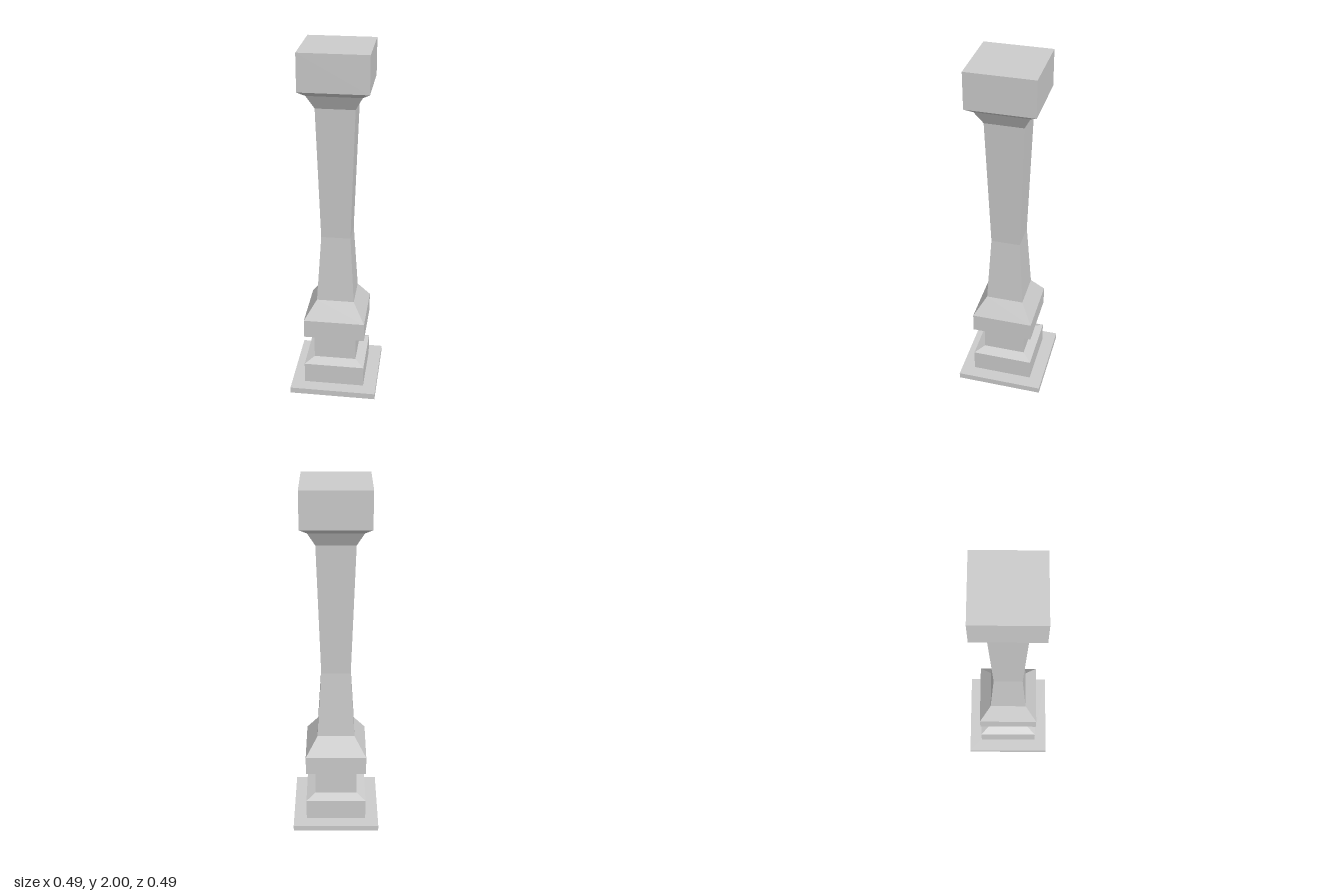
import * as THREE from 'three';

const material = new THREE.MeshStandardMaterial({ color: 0xcccccc, flatShading: true });

// Square-section turning: profile points are [half width, height], bottom to top
function squareTurning(name, profile) {
  const points = profile.map(([half, y]) => new THREE.Vector2(half * Math.SQRT2, y));
  const lathe = new THREE.LatheGeometry(points, 4, Math.PI / 4);
  const geometry = lathe.toNonIndexed();
  geometry.computeVertexNormals();
  const mesh = new THREE.Mesh(geometry, material);
  mesh.name = name;
  return mesh;
}

export function createModel() {
  const group = new THREE.Group();
  group.name = 'baluster';
  group.add(
    // thin foot slab, closed underneath
    squareTurning('plinth', [[0, 0], [0.246, 0], [0.246, 0.035], [0.172, 0.035]]),
    // lower block with bevelled top
    squareTurning('baseBlock', [[0.172, 0.035], [0.172, 0.158], [0.12, 0.182]]),
    // recessed neck
    squareTurning('neck', [[0.12, 0.182], [0.12, 0.322]]),
    // flared collar between neck and shaft
    squareTurning('collar', [[0.12, 0.322], [0.172, 0.347], [0.172, 0.455], [0.105, 0.56]]),
    // waisted shaft
    squareTurning('shaft', [[0.105, 0.56], [0.081, 0.95], [0.105, 1.695]]),
    // stepped flare and top block, closed on top
    squareTurning('capital', [[0.105, 1.695], [0.145, 1.772], [0.184, 1.8], [0.184, 2], [0, 2]]),
  );
  return group;
}
